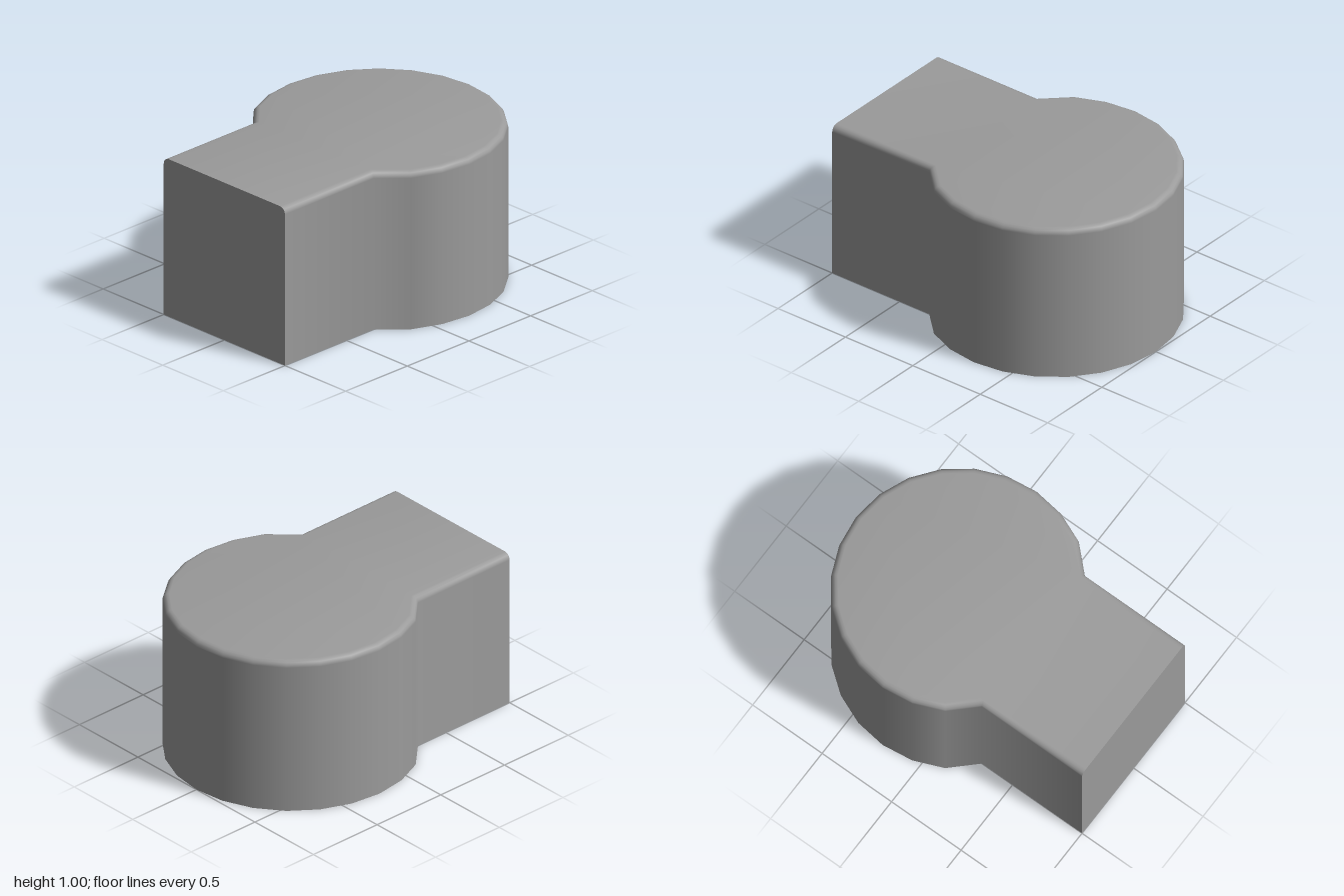
import * as THREE from 'three';

const BEVEL = 0.04;
const STEPS = 4;

// Keyhole outline (x, z): right front corner, round the back, left front corner
function outline() {
  const pts = [[0.5, 1], [0.5, 0.28]];
  for (let deg = 30; deg >= -210; deg -= 15) {
    const a = THREE.MathUtils.degToRad(deg);
    pts.push([0.75 * Math.cos(a), -0.25 + 0.75 * Math.sin(a)]);
  }
  pts.push([-0.5, 0.28], [-0.5, 1]);
  return pts;
}

// Mitre vectors of the open outline; the two ends point along x only
function mitres(pts) {
  const normal = (a, b) => new THREE.Vector2(a[1] - b[1], b[0] - a[0]).normalize();
  const last = pts.length - 1;
  return pts.map((p, i) => {
    const n1 = normal(pts[Math.max(i - 1, 0)], pts[Math.max(i, 1)]);
    const n2 = normal(pts[Math.min(i, last - 1)], pts[Math.min(i + 1, last)]);
    return n1.clone().add(n2).divideScalar(1 + n1.dot(n2));
  });
}

export function createModel() {
  const group = new THREE.Group();
  const material = new THREE.MeshStandardMaterial({ color: 0x9b9b9b, side: THREE.DoubleSide });

  // Rows: floor, then a quarter-round up to the roof, whose rim keeps a slight tilt
  const base = outline();
  const mitre = mitres(base);
  const rows = [{ y: 0, pts: base, tilt: 0 }];
  for (let k = 0; k <= STEPS; k++) {
    const a = (k / STEPS) * Math.PI / 2;
    const d = BEVEL * (1 - Math.cos(a));
    rows.push({
      y: 1 - BEVEL + BEVEL * Math.sin(a),
      pts: base.map(([x, z], i) => [x - mitre[i].x * d, z - mitre[i].y * d]),
      tilt: Math.min(a, THREE.MathUtils.degToRad(85)),
    });
  }

  // Walls, rounded rim and roof as one smooth shell, open underneath
  const n = base.length;
  const positions = [];
  const normals = [];
  const index = [];
  rows.forEach(({ y, pts, tilt }) => pts.forEach(([x, z], i) => {
    const out = mitre[i].clone().normalize().multiplyScalar(Math.cos(tilt));
    positions.push(x, y, z);
    normals.push(out.x, Math.sin(tilt), out.y);
  }));
  for (let r = 0; r < rows.length - 1; r++) {
    for (let i = 0; i < n - 1; i++) {
      const a = r * n + i;
      index.push(a, a + 1, a + n + 1, a, a + n + 1, a + n);
    }
  }
  const top = rows[rows.length - 1].pts.map(([x, z]) => new THREE.Vector2(x, -z));
  const topStart = (rows.length - 1) * n;
  THREE.ShapeUtils.triangulateShape(top, []).forEach(f => index.push(...f.map(i => i + topStart)));
  const shellGeometry = new THREE.BufferGeometry();
  shellGeometry.setAttribute('position', new THREE.Float32BufferAttribute(positions, 3));
  shellGeometry.setAttribute('normal', new THREE.Float32BufferAttribute(normals, 3));
  shellGeometry.setIndex(index);
  const shell = new THREE.Mesh(shellGeometry, material);
  shell.name = 'shell';
  group.add(shell);

  // Flat front wall with the rounded upper corners
  const right = rows.map(({ y, pts }) => new THREE.Vector2(pts[0][0], y));
  const left = right.map(p => new THREE.Vector2(-p.x, p.y)).reverse();
  const front = new THREE.Mesh(new THREE.ShapeGeometry(new THREE.Shape([...right, ...left])), material);
  front.position.z = 1;
  front.name = 'frontWall';
  group.add(front);

  return group;
}
